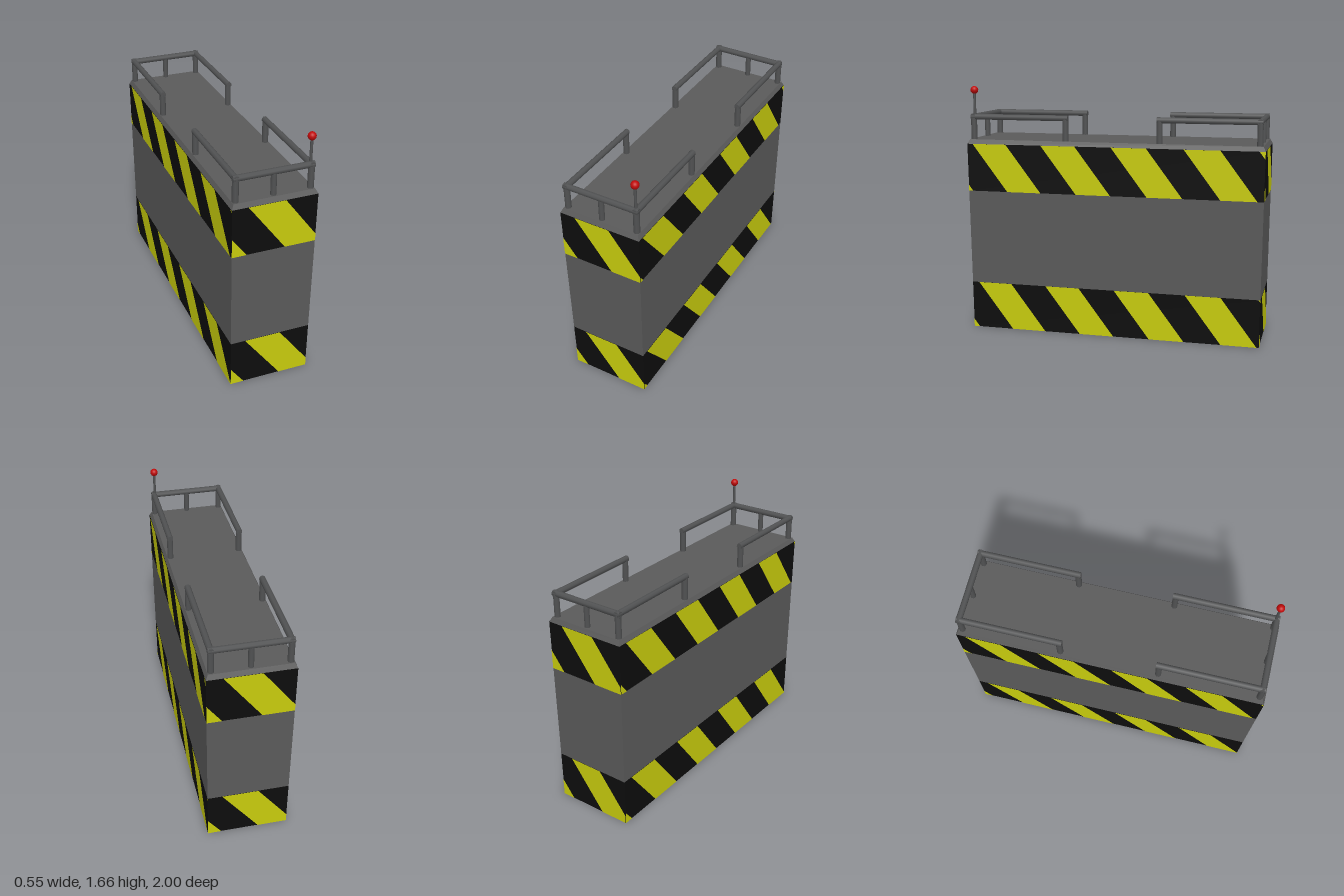
import * as THREE from 'three';

const mat = (name, color, extra = {}) => {
  const m = new THREE.MeshStandardMaterial({ color, ...extra });
  m.name = name;
  return m;
};

const H = 1.28;                                   // wall height
const halfX = y => 0.262 + 0.01 * y / H;          // walls flare slightly upwards
const halfZ = y => 0.987 + 0.011 * y / H;

export function createModel() {
  const grey = mat('hull grey', 0x5a5a5a);
  const railGrey = mat('rail grey', 0x515253);
  const black = mat('stripe black', 0x0d0d0d);
  const yellow = mat('stripe yellow', 0xc8cc0d);
  const red = mat('lamp red', 0xc00a0a);
  const model = new THREE.Group();
  model.name = 'stripedBlock';

  const add = (name, geo, material, parent = model) => {
    const mesh = new THREE.Mesh(geo, material);
    mesh.name = name;
    parent.add(mesh);
    return mesh;
  };

  // Box with separate bottom and top half sizes
  const frustum = (y0, y1, x0, z0, x1, z1) => {
    const g = new THREE.BoxGeometry(2, 1, 2);
    const p = g.attributes.position;
    for (let i = 0; i < p.count; i++) {
      const top = p.getY(i) > 0;
      p.setXYZ(i, p.getX(i) * (top ? x1 : x0), top ? y1 : y0, p.getZ(i) * (top ? z1 : z0));
    }
    g.computeVertexNormals();
    return g;
  };
  const wall = (y0, y1) => frustum(y0, y1, halfX(y0), halfZ(y0), halfX(y1), halfZ(y1));

  // Hull in three bands, with a bevelled deck on top
  add('lowerBand', wall(0, 0.32), [black, black, grey, grey, black, black]);
  add('middleBand', wall(0.32, 0.96), grey);
  add('upperBand', wall(0.96, H), black);
  add('deck', frustum(H, 1.31, 0.272, 0.998, 0.257, 0.983), grey);

  // Keep the part of a polygon where inside(p) >= 0
  const clip = (poly, inside) => {
    const out = [];
    poly.forEach((a, i) => {
      const b = poly[(i + 1) % poly.length];
      const da = inside(a), db = inside(b);
      if (da >= 0) out.push(a);
      if (da * db < 0) out.push(a.clone().lerp(b, da / (da - db)));
    });
    return out;
  };

  // Slanted stripes on one wall; u runs left to right as seen from outside
  const stripes = (name, half, place, y0, phase) => {
    const group = new THREE.Group();
    group.name = name;
    for (let k = -4; k <= 4; k++) {
      const u = phase + k * 0.48;
      let poly = [[u + 0.24, y0], [u + 0.475, y0], [u + 0.235, y0 + 0.32], [u, y0 + 0.32]]
        .map(([a, b]) => new THREE.Vector2(a, b));
      poly = clip(poly, p => half(p.y) - p.x);
      poly = clip(poly, p => half(p.y) + p.x);
      if (poly.length < 3) continue;
      const g = new THREE.ShapeGeometry(new THREE.Shape(poly));
      const pos = g.attributes.position;
      for (let i = 0; i < pos.count; i++) {
        pos.setXYZ(i, ...place(pos.getX(i), pos.getY(i)));
      }
      g.computeVertexNormals();
      add('stripe', g, yellow, group);
    }
    model.add(group);
  };
  const e = 0.002;
  for (const [y0, shift] of [[0, 0.018], [0.96, 0]]) {
    stripes('rightWallStripes', halfZ, (u, y) => [halfX(y) + e, y, -u], y0, shift);
    stripes('leftWallStripes', halfZ, (u, y) => [-halfX(y) - e, y, u], y0, shift + 0.02);
    stripes('frontStripes', halfX, (u, y) => [u, y, halfZ(y) + e], y0, -0.17);
    stripes('backStripes', halfX, (u, y) => [-u, y, -halfZ(y) - e], y0, -0.17);
  }

  // Straight bar between two points
  const bar = (name, a, b, r, material, parent) => {
    const from = new THREE.Vector3(...a), to = new THREE.Vector3(...b);
    const dir = to.clone().sub(from);
    const g = new THREE.CylinderGeometry(r, r, dir.length(), 8);
    g.rotateY(Math.PI / 8);
    const m = add(name, g, material, parent);
    m.position.copy(from).add(to).multiplyScalar(0.5);
    m.quaternion.setFromUnitVectors(new THREE.Vector3(0, 1, 0), dir.normalize());
  };

  // Guard rails around both ends of the deck
  const R = 0.02, X = 0.237, Z = 0.959, Z2 = 0.316, Y = 1.461, base = 1.3;
  for (const s of [1, -1]) {
    const rail = new THREE.Group();
    rail.name = s > 0 ? 'frontRail' : 'backRail';
    model.add(rail);
    bar('endBar', [-X - 0.018, Y, s * Z], [X + 0.018, Y, s * Z], R, railGrey, rail);
    bar('middlePost', [0, base, s * Z], [0, Y, s * Z], R * 0.9, railGrey, rail);
    for (const x of [X, -X]) {
      bar('sideBar', [x, Y, s * (Z + 0.018)], [x, Y, s * (Z2 - 0.018)], R, railGrey, rail);
      bar('cornerPost', [x, base, s * Z], [x, Y, s * Z], R, railGrey, rail);
      bar('innerPost', [x, base, s * Z2], [x, Y, s * Z2], R, railGrey, rail);
    }
  }

  // Antenna with a red lamp
  bar('antenna', [0.232, Y, 0.953], [0.232, 1.63, 0.953], 0.009, railGrey, model);
  add('lamp', new THREE.SphereGeometry(0.026, 16, 12), red).position.set(0.232, 1.639, 0.953);

  return model;
}
